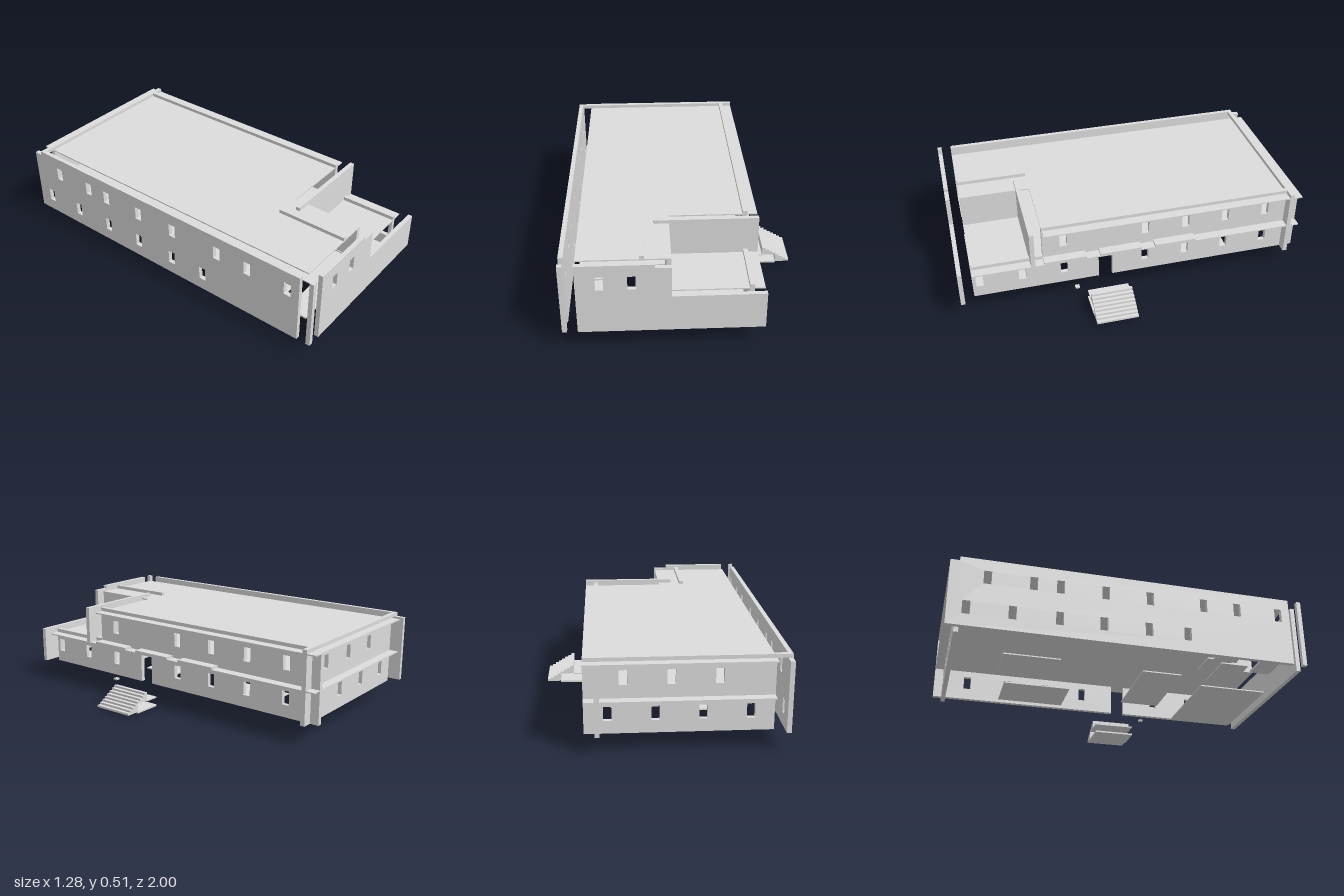
import * as THREE from 'three';

const T = 0.025; // wall thickness

function toShape(points, holes = []) {
  const shape = new THREE.Shape(points.map(p => new THREE.Vector2(...p)));
  for (const [a0, a1, b0, b1] of holes) {
    shape.holes.push(new THREE.Path([[a0, b0], [a0, b1], [a1, b1], [a1, b0]].map(p => new THREE.Vector2(...p))));
  }
  return shape;
}
const rect = (a0, a1, b0, b1) => [[a0, b0], [a1, b0], [a1, b1], [a0, b1]];
const upperWindows = list => list.map(c => [c - 0.021, c + 0.021, 0.365, 0.443]);
const lowerWindows = list => list.map(c => [c - 0.021, c + 0.021, 0.175, 0.252]);

export function createModel() {
  const model = new THREE.Group();
  const plaster = new THREE.MeshStandardMaterial({ color: 0xdcdcdc });
  plaster.name = 'light grey plaster';

  const add = (name, geometry) => {
    const mesh = new THREE.Mesh(geometry, plaster);
    mesh.name = name;
    model.add(mesh);
  };
  const box = (name, x0, x1, y0, y1, z0, z1) =>
    add(name, new THREE.BoxGeometry(x1 - x0, y1 - y0, z1 - z0)
      .translate((x0 + x1) / 2, (y0 + y1) / 2, (z0 + z1) / 2));
  const extrude = (shape, depth) => new THREE.ExtrudeGeometry(shape, { depth, bevelEnabled: false });
  // wall across x, outline in (x, y)
  const wallX = (name, points, holes, z) => add(name, extrude(toShape(points, holes), T).translate(0, 0, z));
  // wall along z, outline in (z, y)
  const wallZ = (name, points, holes, x) =>
    add(name, extrude(toShape(points, holes), T).rotateY(-Math.PI / 2).translate(x + T, 0, 0));
  // horizontal slab, outline in (x, z)
  const slab = (name, points, top) =>
    add(name, extrude(toShape(points), 0.007).rotateX(Math.PI / 2).translate(0, top, 0));

  // front wall, stepped down beside the terrace
  wallX('frontWall',
    [[-0.56, 0.107], [0.4, 0.107], [0.4, 0.316], [-0.08, 0.316], [-0.08, 0.49], [-0.163, 0.49], [-0.163, 0.51], [-0.56, 0.51]],
    upperWindows([-0.44, -0.28]), 0.975);

  // back wall with a parapet bridging to the right wall
  wallX('backWall', rect(-0.56, 0.4, 0.107, 0.51),
    [...upperWindows([-0.28, -0.04, 0.2]), ...lowerWindows([-0.44, -0.2, 0.04, 0.28])], -0.95);
  box('backParapetEnd', -0.615, -0.56, 0.49, 0.51, -0.95, -0.95 + T);

  // right wall and its free corner post
  wallZ('rightWall', [[-1, 0.107], [0.92, 0.107], [0.92, 0.51], [-0.95, 0.51], [-0.95, 0.487], [-1, 0.487]],
    [...upperWindows([-0.8, -0.555, -0.41, -0.16, 0.09, 0.4, 0.6, 0.85]),
      ...lowerWindows([-0.9, -0.66, -0.41, -0.17, 0.08, 0.3])], -0.64);
  box('frontCornerPost', -0.64, -0.615, 0.107, 0.51, 0.975, 1);

  // left wall with doorway, lower beside the terrace
  const leftWindows = [-0.8, -0.555, -0.315, -0.075, 0.4];
  wallZ('leftWall',
    [[-1, 0.107], [0.12, 0.107], [0.12, 0.289], [0.2, 0.289], [0.2, 0.107], [0.92, 0.107], [0.92, 0.317],
      [0.52, 0.317], [0.52, 0.51], [-0.95, 0.51], [-0.95, 0.487], [-1, 0.487]],
    [...upperWindows(leftWindows), ...lowerWindows([...leftWindows, 0.64, 0.88])], 0.32);

  // terrace walls and roof edge parapets
  box('terraceBackWall', -0.08, 0.4, 0.296, 0.51, 0.57, 0.595);
  box('terraceBackParapet', -0.163, -0.08, 0.49, 0.51, 0.57, 0.595);
  box('terraceSideWall', -0.105, -0.08, 0.296, 0.485, 0.57, 0.92);
  box('terraceSideParapet', -0.24, -0.215, 0.49, 0.51, 0.515, 0.92);

  // upper floor (open over the stairwell) and roof, overhanging as ledges
  slab('upperFloor', [[-0.56, -1], [0.4, -1], [0.4, 0.92], [-0.11, 0.92], [-0.11, 0.69], [-0.56, 0.69]], 0.296);
  slab('roof', [[-0.56, -1], [0.4, -1], [0.4, 0.515], [-0.08, 0.515], [-0.08, 0.92], [-0.56, 0.92]], 0.49);

  // raised plates on the ledge
  for (const z of [-0.36, -0.04, 0.28]) box('ledgePlate', 0.32, 0.4, 0.296, 0.309, z, z + 0.24);

  // separate ground floor plates
  for (const [x0, x1, z0, z1] of [[0, 0.26, -0.61, -0.22], [-0.38, -0.14, -0.67, -0.35],
    [-0.35, 0.12, 0.13, 0.36], [-0.24, 0.32, 0.52, 0.92], [-0.56, -0.32, 0.52, 0.68]]) {
    box('groundPlate', x0, x1, 0.1, 0.107, z0, z1);
  }

  // inner stair treads and landing
  for (let i = 0; i < 6; i++) {
    const y = 0.12 + i * 0.015, z = 0.44 + i * 0.04;
    box('innerTread', -0.56, -0.4, y, y + 0.008, z, z + 0.04);
  }
  box('innerLanding', -0.56, -0.32, 0.185, 0.195, 0.8, 0.92);

  // outer stairs: two stepped flights, each with a thin landing behind
  for (const [x0, y0] of [[0.48, 0.058], [0.56, 0.01]]) {
    const points = [[x0, y0]];
    for (let i = 0; i < 4; i++) {
      const y = y0 + 0.048 - i * 0.012;
      points.push([x0 + i * 0.02, y], [x0 + (i + 1) * 0.02, y]);
    }
    points.push([x0 + 0.08, y0]);
    add('stairFlight', extrude(toShape(points), 0.24).translate(0, 0, 0.04));
  }
  box('upperLanding', 0.4, 0.48, 0.051, 0.058, 0.04, 0.28);
  box('lowerLanding', 0.4, 0.56, 0, 0.01, 0.04, 0.28);
  box('doorBlock', 0.4, 0.425, 0.106, 0.115, 0.33, 0.355);

  return model;
}
